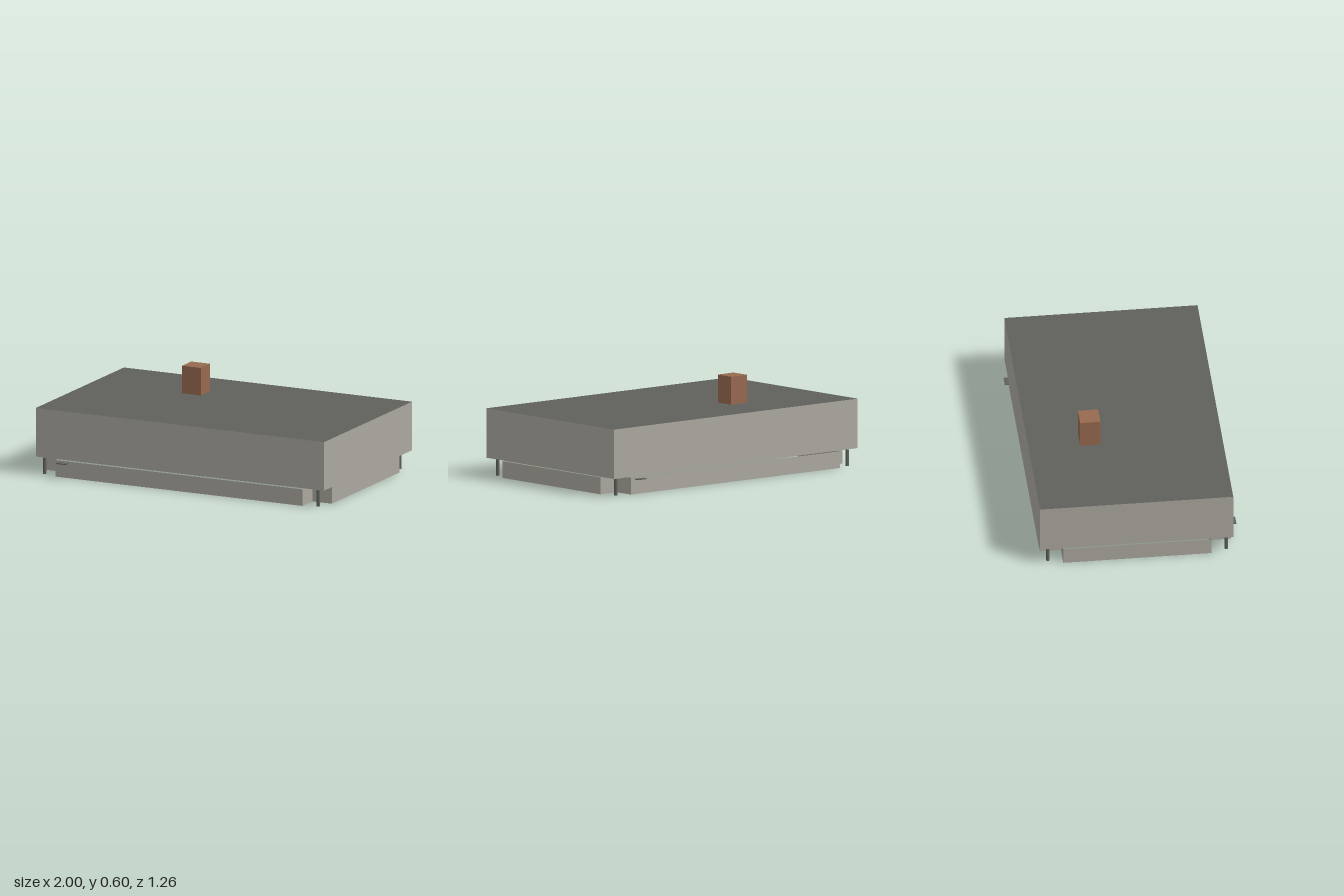
import * as THREE from 'three';

const wallGrey = new THREE.MeshStandardMaterial({ color: 0xaaa79e, side: THREE.DoubleSide });
wallGrey.name = 'wallGrey';
const darkGrey = new THREE.MeshStandardMaterial({ color: 0x60605c });
darkGrey.name = 'darkGrey';
const brick = new THREE.MeshStandardMaterial({ color: 0x96694f });
brick.name = 'brick';

// Box given by its minimum and maximum corners
function box(name, min, max, material) {
  const size = max.map((v, i) => v - min[i]);
  const mesh = new THREE.Mesh(new THREE.BoxGeometry(...size), material);
  mesh.position.set(...max.map((v, i) => (v + min[i]) / 2));
  mesh.name = name;
  return mesh;
}

// Thin upright wall following a closed [x, z] outline
function wallStrip(outline, y0, y1) {
  const pos = [];
  outline.forEach(([ax, az], i) => {
    const [bx, bz] = outline[(i + 1) % outline.length];
    pos.push(ax, y0, az, bx, y0, bz, bx, y1, bz);
    pos.push(ax, y0, az, bx, y1, bz, ax, y1, az);
  });
  const geometry = new THREE.BufferGeometry();
  geometry.setAttribute('position', new THREE.Float32BufferAttribute(pos, 3));
  geometry.computeVertexNormals();
  return geometry;
}

export function createModel() {
  const model = new THREE.Group();

  // Main storey: light walls, dark flat roof and dark underside
  model.add(box('upperStorey', [-1, 0.113, -0.608], [1, 0.422, 0.595],
    [wallGrey, wallGrey, darkGrey, darkGrey, wallGrey, wallGrey]));

  // Chimney on the roof
  model.add(box('chimney', [-0.37, 0.42, -0.288], [-0.24, 0.597, -0.162], brick));

  // Lower walls with a notch at each corner, counterclockwise seen from above
  const [x0, x1, z0, z1] = [-1, 0.985, -0.595, 0.595];
  const [nx0, nx1, nz0, nz1] = [-0.865, 0.85, -0.463, 0.46];
  const outline = [
    [nx0, z1], [nx1, z1], [nx1, nz1], [x1, nz1],
    [x1, nz0], [nx1, nz0], [nx1, z0], [nx0, z0],
    [nx0, nz0], [x0, nz0], [x0, nz1], [nx0, nz1],
  ];
  const lowerWalls = new THREE.Mesh(wallStrip(outline, 0, 0.105), wallGrey);
  lowerWalls.name = 'lowerWalls';
  model.add(lowerWalls);

  // Corner posts standing in the notches
  const postGeometry = new THREE.CylinderGeometry(0.011, 0.011, 0.102, 10);
  for (const x of [-0.959, 0.94]) {
    for (const z of [-0.555, 0.555]) {
      const post = new THREE.Mesh(postGeometry, darkGrey);
      post.position.set(x, 0.051, z);
      post.name = 'cornerPost';
      model.add(post);
    }
  }

  // Small door canopies at front and back
  model.add(box('frontCanopy', [-0.84, 0.091, 0.595], [-0.77, 0.096, 0.632], darkGrey));
  model.add(box('backCanopy', [0.75, 0.091, -0.632], [0.82, 0.096, -0.595], darkGrey));

  return model;
}
